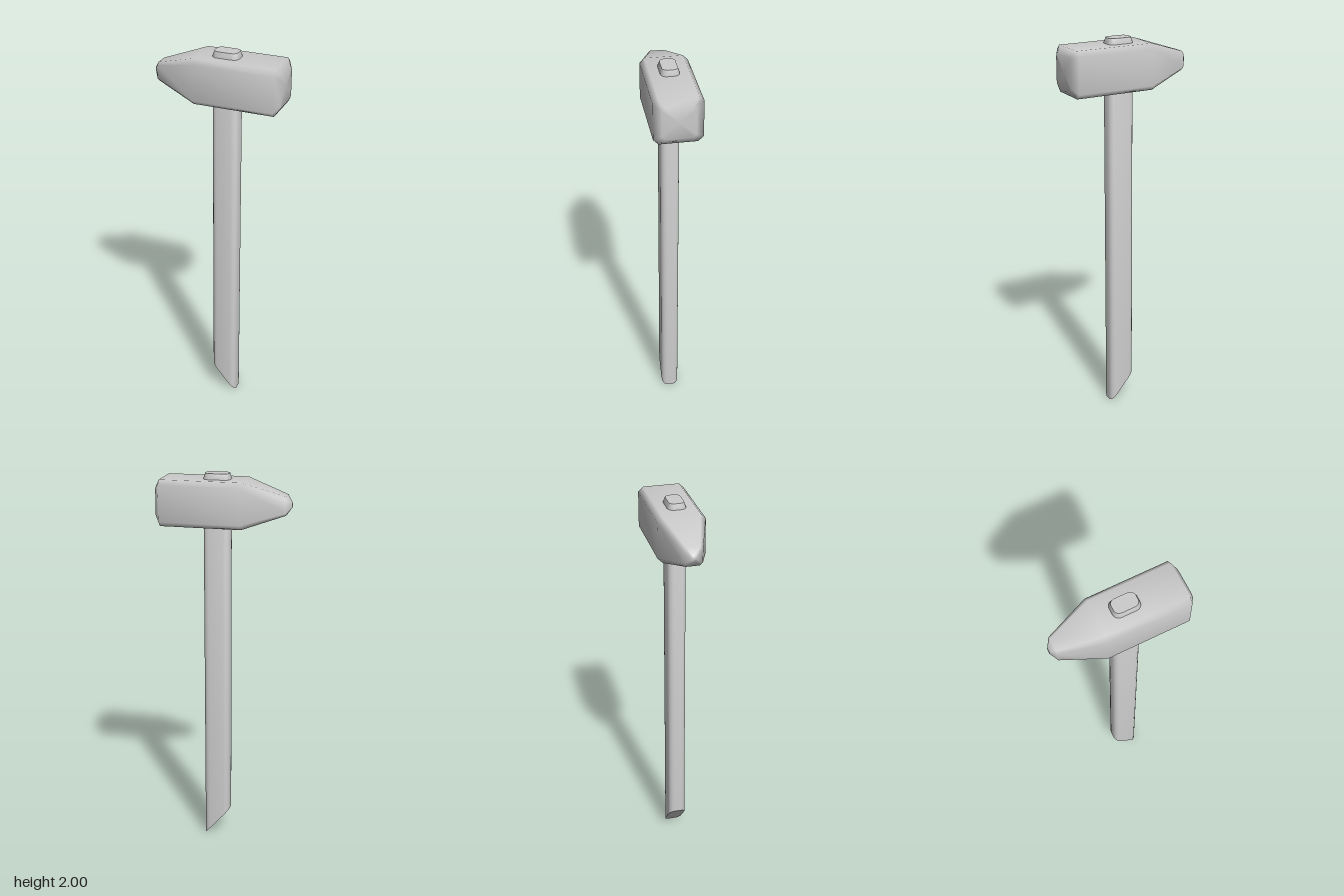
import * as THREE from 'three';
import { toCreasedNormals } from 'three/addons/utils/BufferGeometryUtils.js';

// Skin a list of equal-length rings (counter-clockwise about the axis), closing both ends.
function loft(rings) {
  const n = rings[0].length, last = rings.length - 1;
  const points = rings.flat();
  const index = [];
  for (let i = 0; i < last; i++) {
    for (let j = 0; j < n; j++) {
      const a = i * n + j, b = i * n + (j + 1) % n;
      index.push(a, b, b + n, a, b + n, a + n);
    }
  }
  for (const [row, end] of [[0, false], [last, true]]) {
    const centre = points.length;
    points.push(rings[row].reduce((s, p) => s.add(p), new THREE.Vector3()).divideScalar(n));
    for (let j = 0; j < n; j++) {
      const a = row * n + j, b = row * n + (j + 1) % n;
      index.push(centre, end ? a : b, end ? b : a);
    }
  }
  const geometry = new THREE.BufferGeometry().setFromPoints(points);
  geometry.setIndex(index);
  geometry.computeVertexNormals();
  return geometry;
}

// Counter-clockwise rectangle outline with cut or rounded corners.
function outline(halfU, halfV, corner, steps) {
  const result = [];
  for (let q = 0; q < 4; q++) {
    const su = q === 0 || q === 3 ? 1 : -1, sv = q < 2 ? 1 : -1;
    for (let k = 0; k <= steps; k++) {
      const t = (q + k / steps) * Math.PI / 2;
      result.push([
        su * (halfU - corner) + corner * Math.cos(t),
        sv * (halfV - corner) + corner * Math.sin(t),
      ]);
    }
  }
  return result;
}

export function createModel() {
  const group = new THREE.Group();
  const material = new THREE.MeshStandardMaterial({ color: 0xcccccc });
  const add = (name, geometry) => {
    const mesh = new THREE.Mesh(geometry, material);
    mesh.name = name;
    group.add(mesh);
  };

  // Head: tapered peen at -x, bevelled striking face at +x; [x, half height, half depth, corner]
  const headSections = [
    [-0.338, 0.012, 0.012, 0.005],
    [-0.313, 0.047, 0.047, 0.014],
    [-0.1, 0.116, 0.118, 0.025],
    [0.313, 0.116, 0.118, 0.025],
    [0.337, 0.08, 0.08, 0.015],
  ];
  add('head', loft(headSections.map(([x, h, d, c]) =>
    outline(h, d, c, 1).map(([y, z]) => new THREE.Vector3(x, 1.855 + y, z)))));

  // Handle: rounded bar with a slanted foot and a bevelled top poking through the head
  const midX = 0.038, halfX = 0.068, halfZ = 0.046;
  const ring = (inset, height) => outline(halfZ - inset, halfX - inset, 0.03 - inset / 2, 4)
    .map(([z, x]) => new THREE.Vector3(midX + x, height(x), z));
  const handle = loft([
    ring(0, (x) => 0.08 - x * 0.08 / halfX),
    ring(0, () => 1.975),
    ring(0.008, () => 2),
  ]);
  add('handle', toCreasedNormals(handle, 0.6));

  return group;
}
